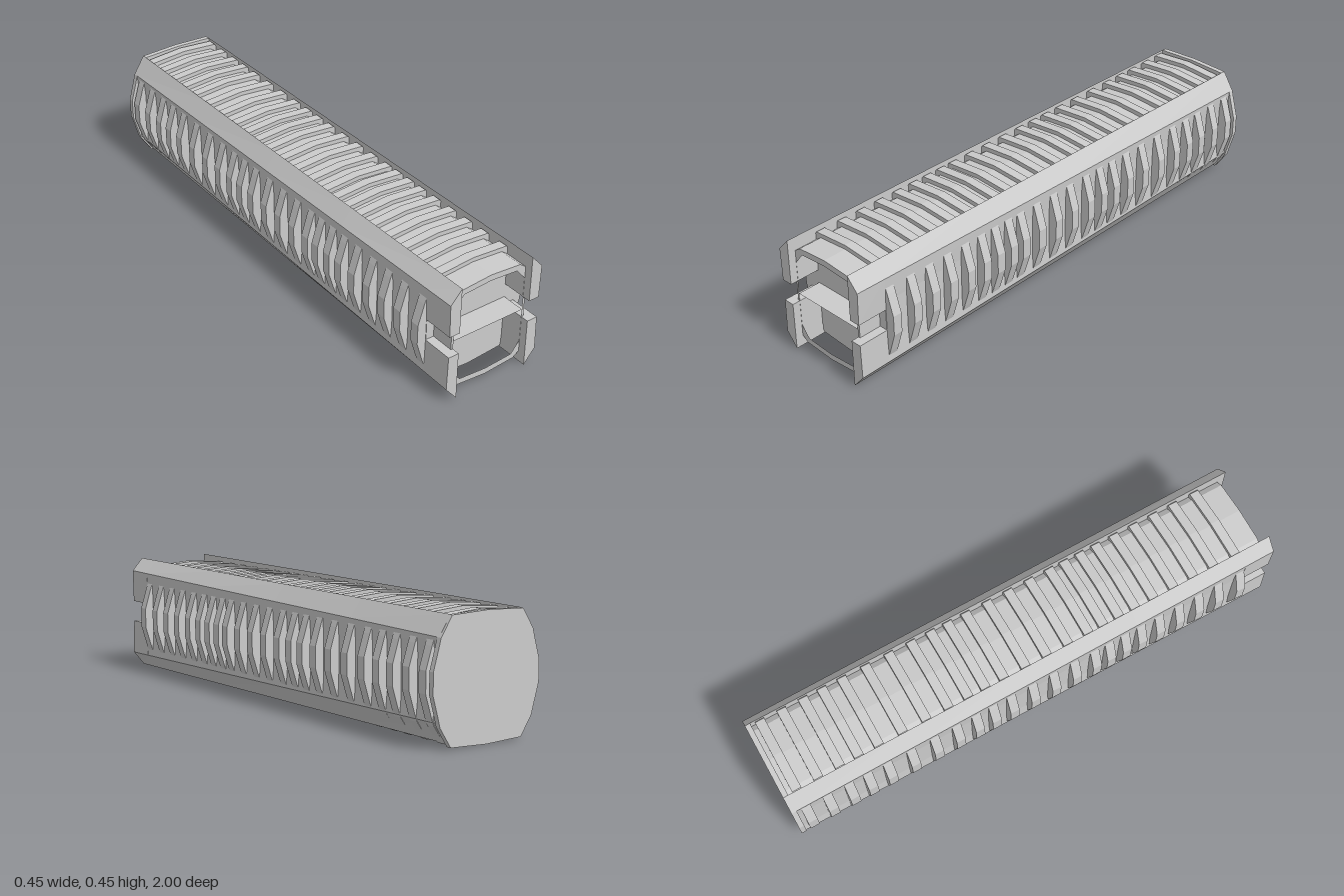
import * as THREE from 'three';
import { mergeGeometries } from 'three/addons/utils/BufferGeometryUtils.js';

const MID = 0.221; // height of the horizontal symmetry plane
const material = new THREE.MeshStandardMaterial({ color: 0xcccccc, flatShading: true });

// Points hold [x, distance above MID]
const shapeOf = (pts) => new THREE.Shape(pts.map(([x, d]) => new THREE.Vector2(x, MID + d)));

// Complete a quarter outline (top centre to side) into a closed symmetric one
function symmetric(q) {
  const right = [...q, ...q.slice().reverse().map(([x, d]) => [x, -d])];
  const left = right.slice(1, -1).reverse().map(([x, d]) => [-x, d]);
  return [...right, ...left];
}

function extrude(shape, z0, z1, steps = 1) {
  return new THREE.ExtrudeGeometry(shape, { depth: z1 - z0, bevelEnabled: false, steps })
    .translate(0, 0, z0);
}

// Rails get lower towards the back, the outer chamfer edge more than the crest
function taper(geometry) {
  const p = geometry.attributes.position;
  for (let i = 0; i < p.count; i++) {
    const d = p.getY(i) - MID;
    if (Math.abs(d) < 0.1) continue;
    const t = (1 - p.getZ(i)) / 2;
    const end = Math.abs(p.getX(i)) > 0.18 ? 0.81 : 0.94;
    p.setY(i, MID + d * THREE.MathUtils.lerp(1, end, t));
  }
  geometry.computeVertexNormals();
  return geometry;
}

export function createModel() {
  const group = new THREE.Group();
  const add = (name, geometry, mat = material) => {
    const mesh = new THREE.Mesh(geometry, mat);
    mesh.name = name;
    group.add(mesh);
    return mesh;
  };

  // Inner body, solid behind a shallow recess at the front
  const coreOutline = symmetric([[0, 0.204], [0.125, 0.194], [0.158, 0.17]]);
  const openingOutline = symmetric([[0, 0.181], [0.113, 0.173], [0.149, 0.13]]);
  add('core', extrude(shapeOf(coreOutline), -0.99, 0.88));
  const collar = shapeOf(coreOutline);
  collar.holes.push(new THREE.Path(shapeOf(openingOutline).getPoints()));
  add('frontCollar', extrude(collar, 0.88, 0.97));

  // Thin shelf across the recess
  const shelf = new THREE.PlaneGeometry(0.3, 0.09).rotateX(-Math.PI / 2).translate(0, MID, 0.925);
  add('recessShelf', shelf, new THREE.MeshStandardMaterial({
    color: 0xcccccc, flatShading: true, side: THREE.DoubleSide,
  }));

  // Side rails, notched at the front end
  for (const s of [-1, 1]) {
    const rail = [[0.15, 0.229], [0.195, 0.179], [0.19, 0.08],
      [0.19, -0.08], [0.195, -0.163], [0.15, -0.217]].map(([x, d]) => [s * x, d]);
    const upper = [[0.15, 0.229], [0.195, 0.179], [0.192, 0.052], [0.15, 0.052]]
      .map(([x, d]) => [s * x, d]);
    const lower = [[0.15, -0.031], [0.192, -0.031], [0.195, -0.163], [0.15, -0.217]]
      .map(([x, d]) => [s * x, d]);
    add(s > 0 ? 'leftRail' : 'rightRail', taper(mergeGeometries([
      extrude(shapeOf(rail), -0.99, 0.88, 4),
      extrude(shapeOf(upper), 0.88, 1),
      extrude(shapeOf(lower), 0.88, 1),
    ])));
  }

  // Ribs ringing the body, showing between and outside the rails
  const ribShape = shapeOf(symmetric([[0, 0.22], [0.145, 0.209], [0.19, 0.145],
    [0.201, 0.115], [0.225, 0.038]]));
  const ribZ = [0.86, 0.766, 0.68, 0.595, 0.51, 0.432, 0.364, 0.297, 0.235, 0.15, 0.062,
    -0.026, -0.115, -0.19, -0.26, -0.34, -0.43, -0.525, -0.62, -0.7, -0.775, -0.86, -0.945];
  add('ribs', mergeGeometries(ribZ.map((z) => extrude(ribShape, z - 0.018, z + 0.018))));

  // Closing plate at the back
  const plate = shapeOf(symmetric([[0, 0.22], [0.15, 0.214], [0.195, 0.145],
    [0.203, 0.115], [0.225, 0.038]]));
  add('backPlate', extrude(plate, -1, -0.98));

  return group;
}
